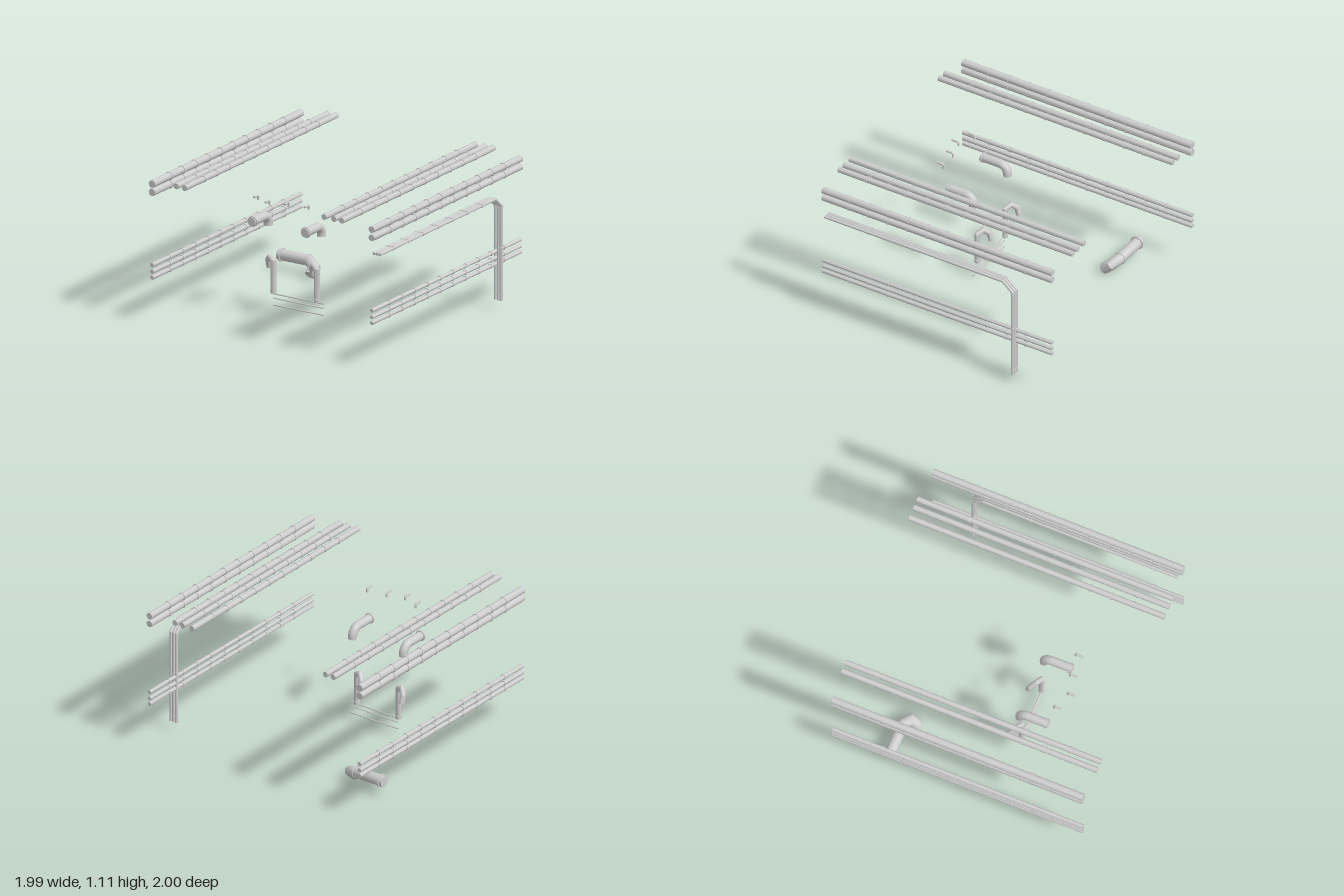
import * as THREE from 'three';
import { toCreasedNormals } from 'three/addons/utils/BufferGeometryUtils.js';

const steel = new THREE.MeshStandardMaterial({ color: 0xcccccc });
steel.name = 'light grey steel';

const V = (x, y, z) => new THREE.Vector3(x, y, z);

// Capped round pipe along a polyline, mitred at every corner
function pipeGeometry(points, radius, sides = 20) {
  const dirs = points.slice(1).map((p, i) => p.clone().sub(points[i]).normalize());
  const up = Math.abs(dirs[0].y) > 0.9 ? V(1, 0, 0) : V(0, 1, 0);
  const u = up.clone().cross(dirs[0]).normalize();
  const v = dirs[0].clone().cross(u);
  const rings = [];
  for (let i = 0; i < points.length; i++) {
    const ring = [];
    const before = dirs[Math.max(i - 1, 0)];
    const normal = before.clone().add(dirs[Math.min(i, dirs.length - 1)]);
    for (let j = 0; j < sides; j++) {
      const a = (j / sides) * Math.PI * 2;
      if (i === 0) {
        ring.push(points[0].clone().addScaledVector(u, Math.cos(a) * radius).addScaledVector(v, Math.sin(a) * radius));
      } else {
        // slide the previous ring along its segment on to the mitre plane
        const q = rings[i - 1][j];
        const t = points[i].clone().sub(q).dot(normal) / before.dot(normal);
        ring.push(q.clone().addScaledVector(before, t));
      }
    }
    rings.push(ring);
  }
  const tris = [];
  const last = rings.length - 1;
  for (let j = 0; j < sides; j++) {
    const k = (j + 1) % sides;
    for (let i = 0; i < last; i++) {
      const [a, b] = [rings[i], rings[i + 1]];
      tris.push(a[j], a[k], b[k], a[j], b[k], b[j]);
    }
    tris.push(points[0], rings[0][k], rings[0][j]);
    tris.push(points[last], rings[last][j], rings[last][k]);
  }
  return toCreasedNormals(new THREE.BufferGeometry().setFromPoints(tris), 0.7);
}

function addPipe(parent, name, points, radius, sides) {
  const mesh = new THREE.Mesh(pipeGeometry(points, radius, sides), steel);
  mesh.name = name;
  parent.add(mesh);
}

// Short ring around a pipe
function addCollar(parent, centre, dir, radius, half = 0.005) {
  const ends = [-half, half].map((h) => centre.clone().addScaledVector(dir, h));
  addPipe(parent, 'collar', ends, radius);
}

// Quarter turn in the y-z plane: runs back from zFront, then drops to yEnd
function elbowPath(x, y, zFront, zDrop, bend, yEnd) {
  const path = [V(x, y, zFront)];
  for (let i = 0; i <= 8; i++) {
    const a = (i / 8) * Math.PI / 2;
    path.push(V(x, y - bend + Math.cos(a) * bend, zDrop + bend - Math.sin(a) * bend));
  }
  path.push(V(x, yEnd, zDrop));
  return path;
}

export function createModel() {
  const model = new THREE.Group();
  model.name = 'pipework';
  const group = (name) => {
    const g = new THREE.Group();
    g.name = name;
    model.add(g);
    return g;
  };
  const alongX = V(1, 0, 0), alongY = V(0, 1, 0), alongZ = V(0, 0, 1);

  // Long straight runs with evenly spaced collars
  const runs = [
    ['ceilingPipe', 0.022, 1, [[-0.74, 1.092], [-0.67, 1.092], [0.537, 1.092], [0.622, 1.092], [0.69, 1.092]]],
    ['rightWallPipe', 0.028, 0.98, [[-0.963, 1.063], [-0.963, 1]]],
    ['leftWallPipe', 0.025, 0.98, [[0.936, 1.063], [0.936, 1]]],
    ['rightLowPipe', 0.0165, 0.98, [[-0.963, 0.446], [-0.963, 0.396], [-0.963, 0.351]]],
    ['leftLowPipe', 0.0145, 0.98, [[0.936, 0.446], [0.936, 0.396], [0.936, 0.351]]],
  ];
  for (const [name, radius, half, places] of runs) {
    const g = group(name + 's');
    for (const [x, y] of places) {
      addPipe(g, name, [V(x, y, -half), V(x, y, half)], radius);
      for (let i = 0; i < 10; i++) addCollar(g, V(x, y, 0.753 - i * 0.1673), alongZ, radius + 0.004);
    }
  }

  // Three conduits that run back and turn down
  const conduits = group('conduits');
  for (const x of [0.928, 0.953, 0.978]) {
    addPipe(conduits, 'conduit', [V(x, 0.868, 0.938), V(x, 0.868, -0.583), V(x, 0.796, -0.664), V(x, 0.075, -0.664)], 0.0115, 14);
    for (let i = 0; i < 7; i++) addCollar(conduits, V(x, 0.868, 0.76 - i * 0.194), alongZ, 0.0145, 0.004);
    for (const y of [0.787, 0.476, 0.116]) addCollar(conduits, V(x, y, -0.664), alongY, 0.0145, 0.004);
  }

  // Two large elbows with a front flange
  const elbows = group('elbows');
  for (const x of [-0.427, 0.033]) {
    addPipe(elbows, 'elbow', elbowPath(x, 0.734, 0.485, 0.264, 0.065, 0.653), 0.033);
    addCollar(elbows, V(x, 0.734, 0.468), alongZ, 0.04);
  }

  // Four small spouts
  const spouts = group('spouts');
  for (const [x, z] of [[-0.358, 0.557], [-0.225, 0.611], [-0.086, 0.57], [0.072, 0.549]]) {
    addPipe(spouts, 'spout', elbowPath(x, 0.956, z, z - 0.056, 0.012, 0.924), 0.0085, 12);
  }

  // Hooked vents and the thin rods below them
  const vents = group('hookedVents');
  for (const x of [-0.387, -0.009]) {
    addPipe(vents, 'hookedVent', [
      V(x, 0.136, 0.258), V(x, 0.378, 0.258), V(x - 0.046, 0.401, 0.236),
      V(x - 0.08, 0.366, 0.205), V(x - 0.08, 0.308, 0.19),
    ], 0.021);
    addCollar(vents, V(x, 0.159, 0.258), alongY, 0.025);
  }
  for (const y of [0.135, 0.102, 0.049]) {
    addPipe(vents, 'rod', [V(-0.385, y, 0.26), V(0.05, y, 0.26)], 0.005, 10);
  }

  // Wide duct with a downturned mouth
  const duct = group('duct');
  addPipe(duct, 'ductPipe', [
    V(-0.884, 0.114, -0.572), V(-0.622, 0.114, -0.572),
    V(-0.555, 0.083, -0.536), V(-0.555, 0.037, -0.483),
  ], 0.042, 24);
  addCollar(duct, V(-0.856, 0.114, -0.572), alongX, 0.052);
  addCollar(duct, V(-0.625, 0.114, -0.572), alongX, 0.047);

  return model;
}
